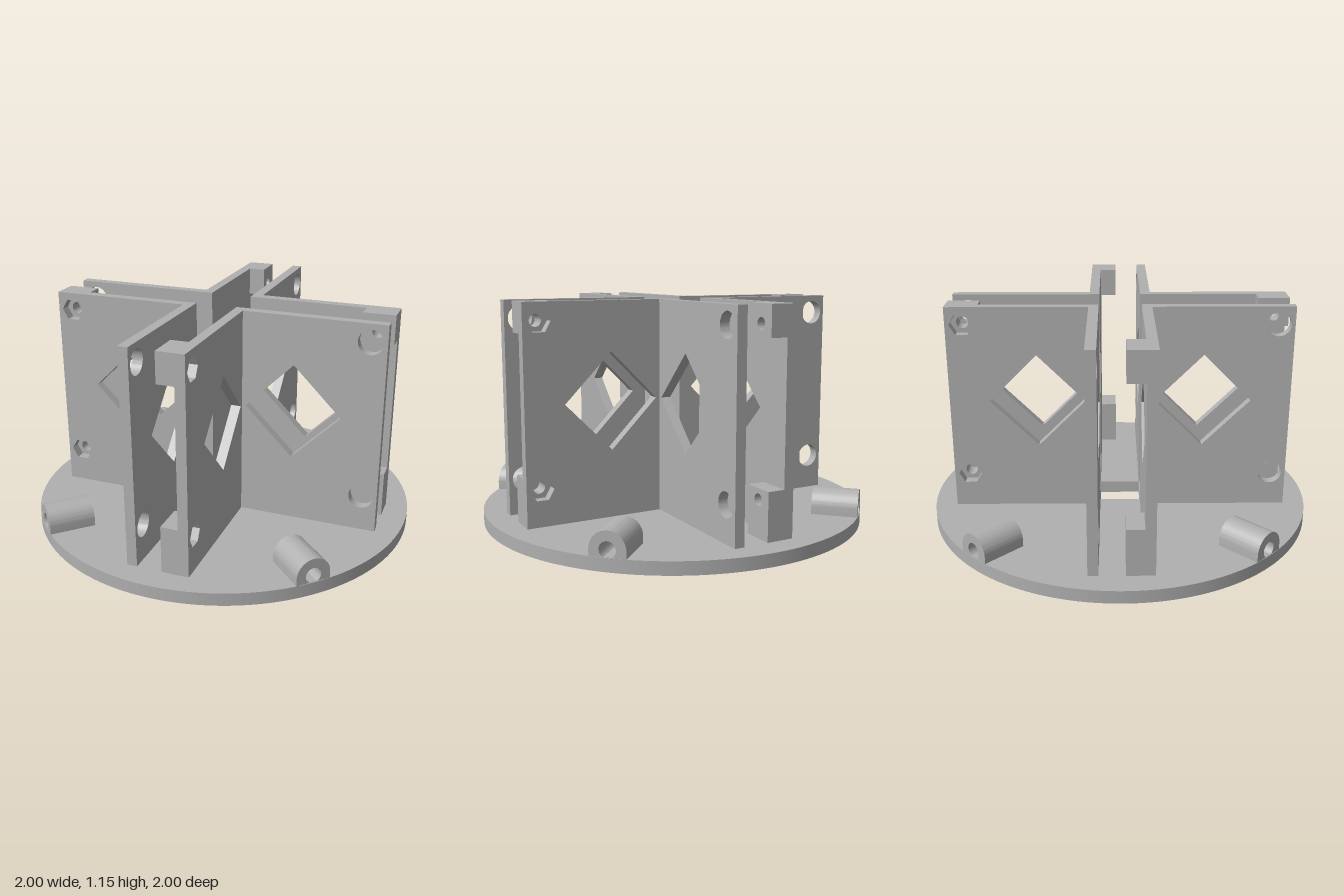
import * as THREE from 'three';
import { toCreasedNormals } from 'three/addons/utils/BufferGeometryUtils.js';

const BASE = 0.065, TOP = 1.15;      // base plate thickness, wall top
const IN = 0.107, OUT = 0.158;       // wall planes measured from the centre
const END = 0.874;                   // outer end of the walls
const BOLT_R = 0.793, BOLT_Y = [0.249, 1.059];

const grey = new THREE.MeshStandardMaterial({ color: 0xb0b0b0 });
grey.name = 'grey plastic';

function rect(x0, y0, x1, y1) {
  return new THREE.Shape([[x0, y0], [x1, y0], [x1, y1], [x0, y1]].map(p => new THREE.Vector2(...p)));
}

// Regular polygon hole; four sides makes the diamond, six the nut pocket
function polygon(cx, cy, r, sides) {
  const pts = [];
  for (let i = 0; i < sides; i++) {
    const a = (i / sides) * Math.PI * 2;
    pts.push(new THREE.Vector2(cx + r * Math.cos(a), cy + r * Math.sin(a)));
  }
  return new THREE.Path(pts);
}

function extrude(shape, depth, segments = 32) {
  const g = new THREE.ExtrudeGeometry(shape, { depth, bevelEnabled: false, curveSegments: segments });
  return toCreasedNormals(g, 0.5);
}

function part(name, geometry) {
  const m = new THREE.Mesh(geometry, grey);
  m.name = name;
  return m;
}

// Plain wall with diamond window and round clearance holes
function clearanceWall() {
  const s = rect(IN, BASE, END, TOP);
  s.holes.push(polygon(0.424, 0.655, 0.246, 4));
  for (const y of BOLT_Y) s.holes.push(polygon(BOLT_R, y, 0.062, 40));
  return part('clearanceWall', extrude(s, OUT - IN).translate(0, 0, IN));
}

// Wall at right angles to it, with hexagonal nut pockets
function nutWall() {
  const s = rect(OUT, BASE, END, TOP);
  s.holes.push(polygon(0.424, 0.655, 0.246, 4));
  for (const y of BOLT_Y) s.holes.push(polygon(BOLT_R, y, 0.06, 6));
  return part('nutWall', extrude(s, OUT - IN).rotateY(-Math.PI / 2).translate(OUT, 0, 0));
}

// Bolt lug behind each nut pocket
function lug(y0, y1, holeY) {
  const s = rect(0.711, y0, END, y1);
  s.holes.push(polygon(BOLT_R, holeY, 0.03, 32));
  return part('boltLug', extrude(s, IN - 0.02).rotateY(-Math.PI / 2).translate(IN, 0, 0));
}

// Round-topped radial boss with a bore
function boss() {
  const r = 0.088, cy = 0.1;
  const s = new THREE.Shape();
  s.moveTo(-r, BASE);
  s.lineTo(r, BASE);
  s.lineTo(r, cy);
  s.absarc(0, cy, r, 0, Math.PI, false);
  s.lineTo(-r, BASE);
  s.holes.push(polygon(0, cy, 0.04, 32));
  return part('rimBoss', extrude(s, 0.231).translate(0, 0, 0.765));
}

export function createModel() {
  const model = new THREE.Group();
  model.name = 'bracketStand';

  // Everything on the cross is turned 15 degrees
  const cross = new THREE.Group();
  cross.name = 'cross';
  cross.rotation.y = Math.PI / 12;
  model.add(cross);

  // Round base plate with square centre hole
  const disc = new THREE.Shape();
  disc.absarc(0, 0, 1, 0, Math.PI * 2, false);
  disc.holes.push(rect(-IN, -IN, IN, IN));
  cross.add(part('basePlate', extrude(disc, BASE, 96).rotateX(-Math.PI / 2)));

  for (let i = 0; i < 4; i++) {
    // Corner bracket
    const bracket = new THREE.Group();
    bracket.name = 'cornerBracket';
    bracket.rotation.y = i * Math.PI / 2;
    bracket.add(clearanceWall(), nutWall(), lug(BASE, 0.304, BOLT_Y[0]), lug(1.0, TOP, BOLT_Y[1]));
    cross.add(bracket);

    // Rim boss
    const b = boss();
    b.rotation.y = Math.PI / 3 + i * Math.PI / 2;
    model.add(b);
  }
  return model;
}
